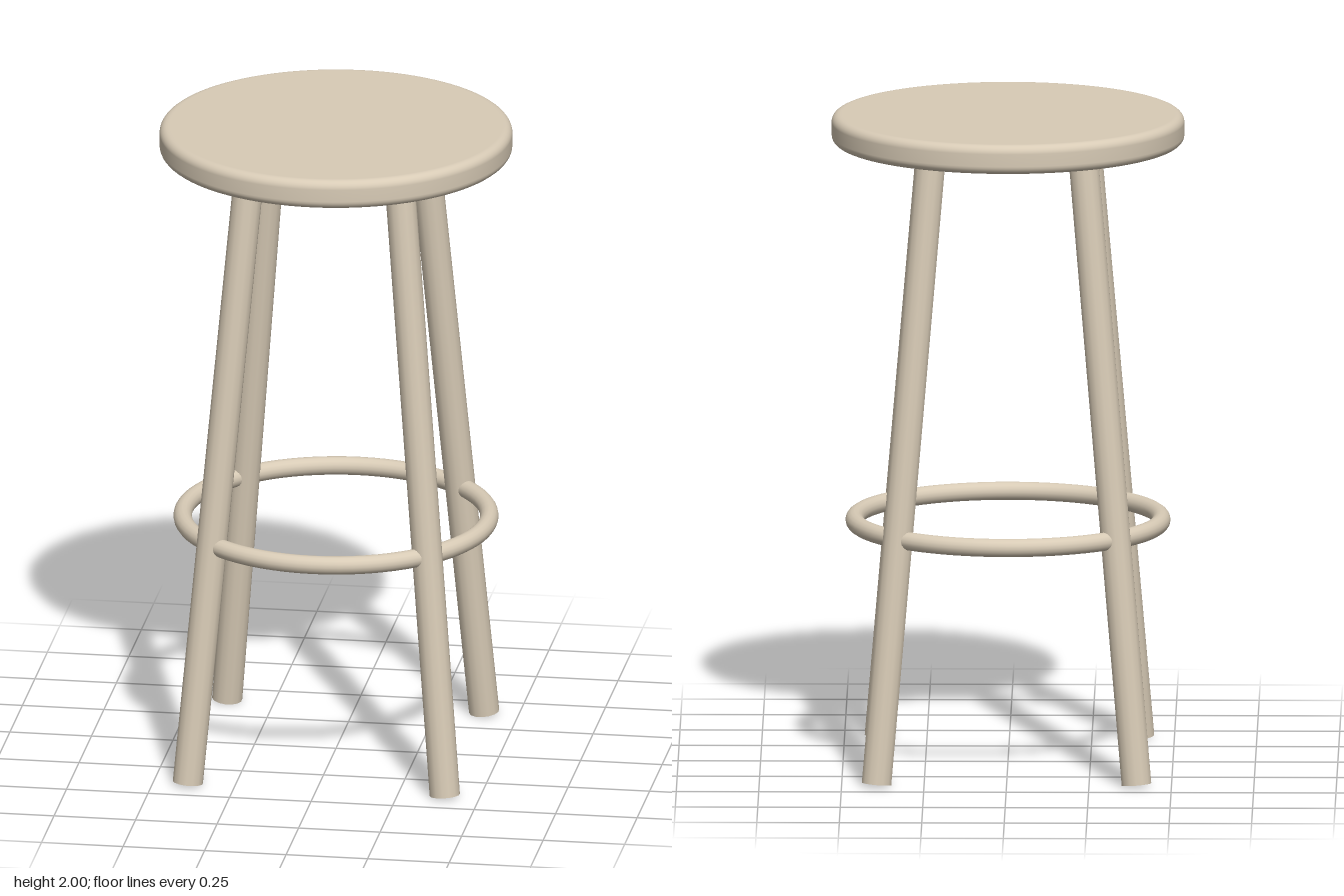
import * as THREE from 'three';

const wood = new THREE.MeshStandardMaterial({ color: 0xd8cbb6 });
wood.name = 'pale wood';

const SEAT_RADIUS = 0.535, SEAT_BOTTOM = 1.91, SEAT_TOP = 2, ROUNDING = 0.026;
const LEG_RADIUS = 0.046, FOOT = 0.394, LEG_TOP = 0.23;

function addPart(group, name, geometry) {
  const mesh = new THREE.Mesh(geometry, wood);
  mesh.name = name;
  group.add(mesh);
  return mesh;
}

// Round disc with softened upper and lower rims
function seatGeometry() {
  const inner = SEAT_RADIUS - ROUNDING;
  const points = [new THREE.Vector2(0, SEAT_BOTTOM), new THREE.Vector2(inner - 0.004, SEAT_BOTTOM)];
  const arc = (cy, from) => {
    for (let i = 0; i <= 6; i++) {
      const a = from + (i / 6) * Math.PI / 2;
      points.push(new THREE.Vector2(inner + Math.cos(a) * ROUNDING, cy + Math.sin(a) * ROUNDING));
    }
  };
  arc(SEAT_BOTTOM + ROUNDING, -Math.PI / 2);
  arc(SEAT_TOP - ROUNDING, 0);
  points.push(new THREE.Vector2(inner - 0.004, SEAT_TOP), new THREE.Vector2(0, SEAT_TOP));
  return new THREE.LatheGeometry(points, 96);
}

export function createModel() {
  const stool = new THREE.Group();
  stool.name = 'stool';

  addPart(stool, 'seat', seatGeometry());

  // Four splayed legs, cut square to their own axis
  const up = new THREE.Vector3(0, 1, 0);
  for (const sx of [-1, 1]) {
    for (const sz of [-1, 1]) {
      const foot = new THREE.Vector3(sx * FOOT, 0.0056, sz * FOOT);
      const top = new THREE.Vector3(sx * LEG_TOP, SEAT_BOTTOM + 0.01, sz * LEG_TOP);
      const axis = top.clone().sub(foot);
      const name = (sz > 0 ? 'front' : 'back') + (sx > 0 ? 'Left' : 'Right') + 'Leg';
      const leg = addPart(stool, name,
        new THREE.CylinderGeometry(LEG_RADIUS, LEG_RADIUS, axis.length(), 14));
      leg.position.copy(foot).add(top).multiplyScalar(0.5);
      leg.quaternion.setFromUnitVectors(up, axis.normalize());
    }
  }

  // Footrest ring running through the legs
  const ring = addPart(stool, 'footrestRing', new THREE.TorusGeometry(0.465, 0.028, 16, 72));
  ring.rotation.x = Math.PI / 2;
  ring.position.y = 0.747;

  return stool;
}
